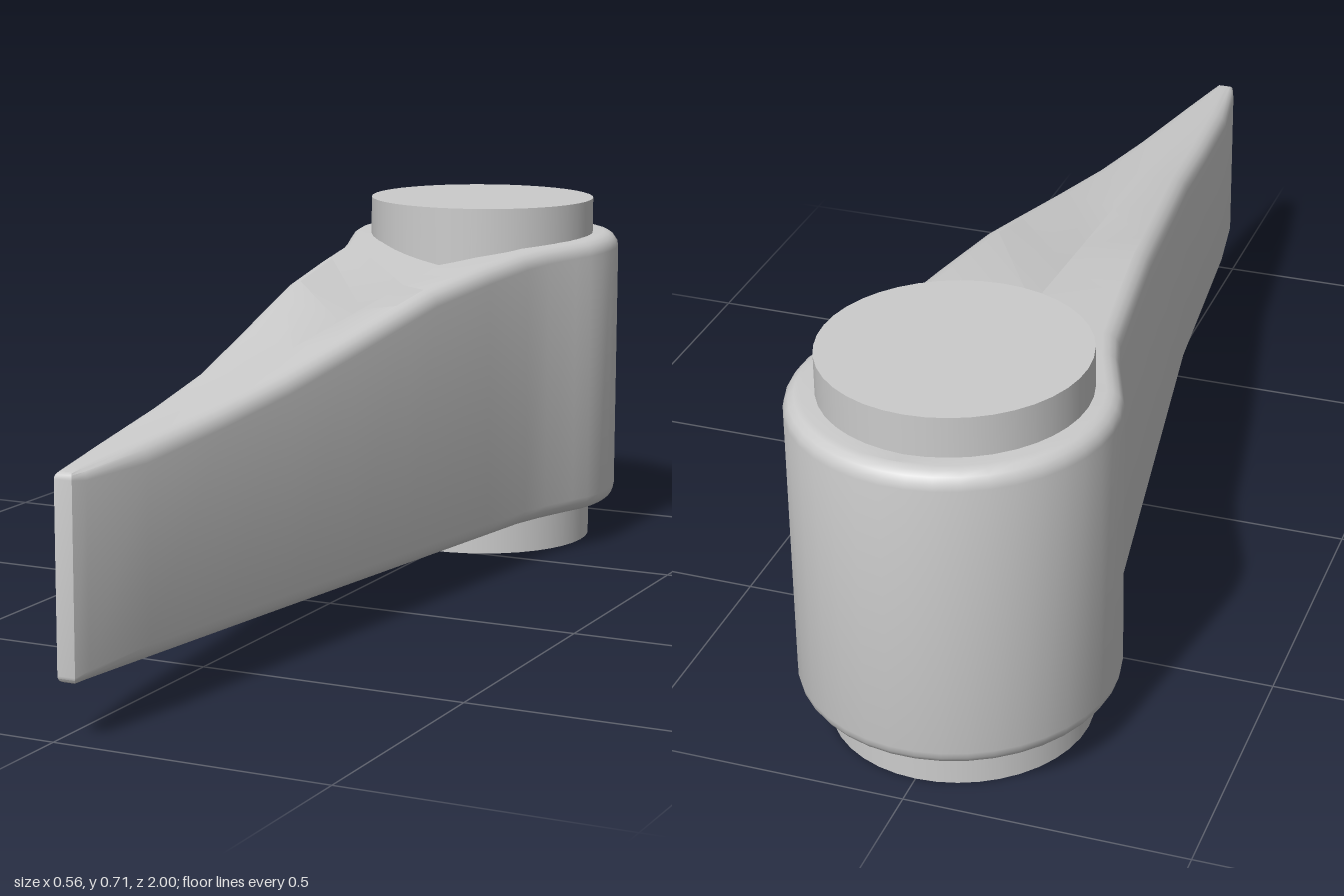
import * as THREE from 'three';
import { toCreasedNormals } from 'three/addons/utils/BufferGeometryUtils.js';

const mat = new THREE.MeshStandardMaterial({ color: 0xcccccc, side: THREE.DoubleSide });

// piecewise-linear lookup in [key, value] pairs
function lookup(table, t) {
  let i = 1;
  while (i < table.length - 1 && t > table[i][0]) i++;
  const [a, va] = table[i - 1], [b, vb] = table[i];
  return va + (vb - va) * THREE.MathUtils.clamp((t - a) / (b - a), 0, 1);
}

const topEdge = [[-1, 0.638], [-0.7, 0.638], [-0.5, 0.632], [-0.3, 0.618], [-0.1, 0.6], [0, 0.582],
  [0.2, 0.545], [0.4, 0.51], [0.6, 0.484], [0.82, 0.462], [1, 0.445]];
const topSpine = [[-0.96, 0.637], [-0.48, 0.592], [1, 0.445]];
const bottomEdge = [[-1, 0.073], [1, 0.1]];
const leftSide = [[-0.45, -0.2], [0.4, -0.066], [0.82, -0.026], [0.97, 0], [1, 0.01]];
const rightSide = [[-0.45, 0.213], [0.4, 0.121], [0.82, 0.077], [0.97, 0.052], [1, 0.043]];

function leverGeometry() {
  // paired outline stations from the round hub to the pointed tip
  const left = [], right = [];
  for (let i = 0; i <= 12; i++) {
    const t = 0.08 + (i / 12) * 1.92;
    const z = -0.72 - 0.28 * Math.cos(t), x = 0.28 * Math.sin(t);
    left.push([-x, z]);
    right.push([x, z]);
  }
  for (const z of [-0.52, -0.45, -0.3, -0.1, 0, 0.2, 0.4, 0.6, 0.82, 0.97, 1]) {
    const k = z === -0.52;
    left.push([k ? -0.222 : lookup(leftSide, z), z]);
    right.push([k ? 0.229 : lookup(rightSide, z), z]);
  }
  const n = left.length, N = 2 * n;
  const outline = [...left, ...right.slice().reverse()];
  const pos = [], idx = [];
  const quad = (a, b, c, d) => idx.push(a, b, c, a, c, d);

  // rounded bottom edge, wall, rounded top edge
  const steps = 4, rings = [];
  for (let j = steps; j >= 0; j--) rings.push([j, false]);
  for (let j = 0; j <= steps; j++) rings.push([j, true]);
  for (const [j, isTop] of rings) {
    const a = (j / steps) * Math.PI / 2;
    outline.forEach(([x, z], i) => {
      const p = outline[(i + N - 1) % N], q = outline[(i + 1) % N];
      const dx = q[0] - p[0], dz = q[1] - p[1], len = Math.hypot(dx, dz);
      const half = Math.abs(x - outline[N - 1 - i][0]) / 2;
      const r = z < -0.7 ? 0.03 : Math.min(0.03, half * 0.7);
      const inset = r * (1 - Math.cos(a)), drop = r * (1 - Math.sin(a));
      const limit = Math.min(inset, half * 0.9);
      pos.push(x + (dz / len) * limit,
        isTop ? lookup(topEdge, z) - drop : lookup(bottomEdge, z) + drop,
        z - (dx / len) * inset);
    });
  }
  for (let k = 0; k < rings.length - 1; k++)
    for (let i = 0; i < N; i++) {
      const i2 = (i + 1) % N;
      quad(k * N + i, k * N + i2, (k + 1) * N + i2, (k + 1) * N + i);
    }

  // top and bottom faces, folded along a central spine
  for (const isTop of [false, true]) {
    const ring = isTop ? (rings.length - 1) * N : 0, spine = pos.length / 3;
    for (let i = 0; i < n; i++) {
      const l = (ring + i) * 3, r = (ring + N - 1 - i) * 3;
      const z = (pos[l + 2] + pos[r + 2]) / 2;
      pos.push((pos[l] + pos[r]) / 2,
        isTop ? Math.min(lookup(topSpine, z), pos[l + 1]) : pos[l + 1], z);
    }
    const tri = (a, b, c) => (isTop ? idx.push(a, b, c) : idx.push(a, c, b));
    const L = i => ring + i, R = i => ring + N - 1 - i, S = i => spine + i;
    for (let i = 0; i < n - 1; i++) {
      tri(L(i), L(i + 1), S(i + 1));
      tri(L(i), S(i + 1), S(i));
      tri(S(i), S(i + 1), R(i + 1));
      tri(S(i), R(i + 1), R(i));
    }
    tri(L(0), S(0), R(0));
    tri(L(n - 1), R(n - 1), S(n - 1));
  }
  const g = new THREE.BufferGeometry();
  g.setAttribute('position', new THREE.Float32BufferAttribute(pos, 3));
  g.setIndex(idx);
  return toCreasedNormals(g.toNonIndexed(), 0.5);
}

export function createModel() {
  const model = new THREE.Group();
  model.name = 'leverArm';

  // tapered lever with a round hub
  const lever = new THREE.Mesh(leverGeometry(), mat);
  lever.name = 'lever';

  // pivot pin running through the hub
  const pin = new THREE.Mesh(new THREE.CylinderGeometry(0.23, 0.23, 0.708, 40), mat);
  pin.name = 'pivotPin';
  pin.position.set(0, 0.354, -0.712);

  model.add(lever, pin);
  return model;
}
